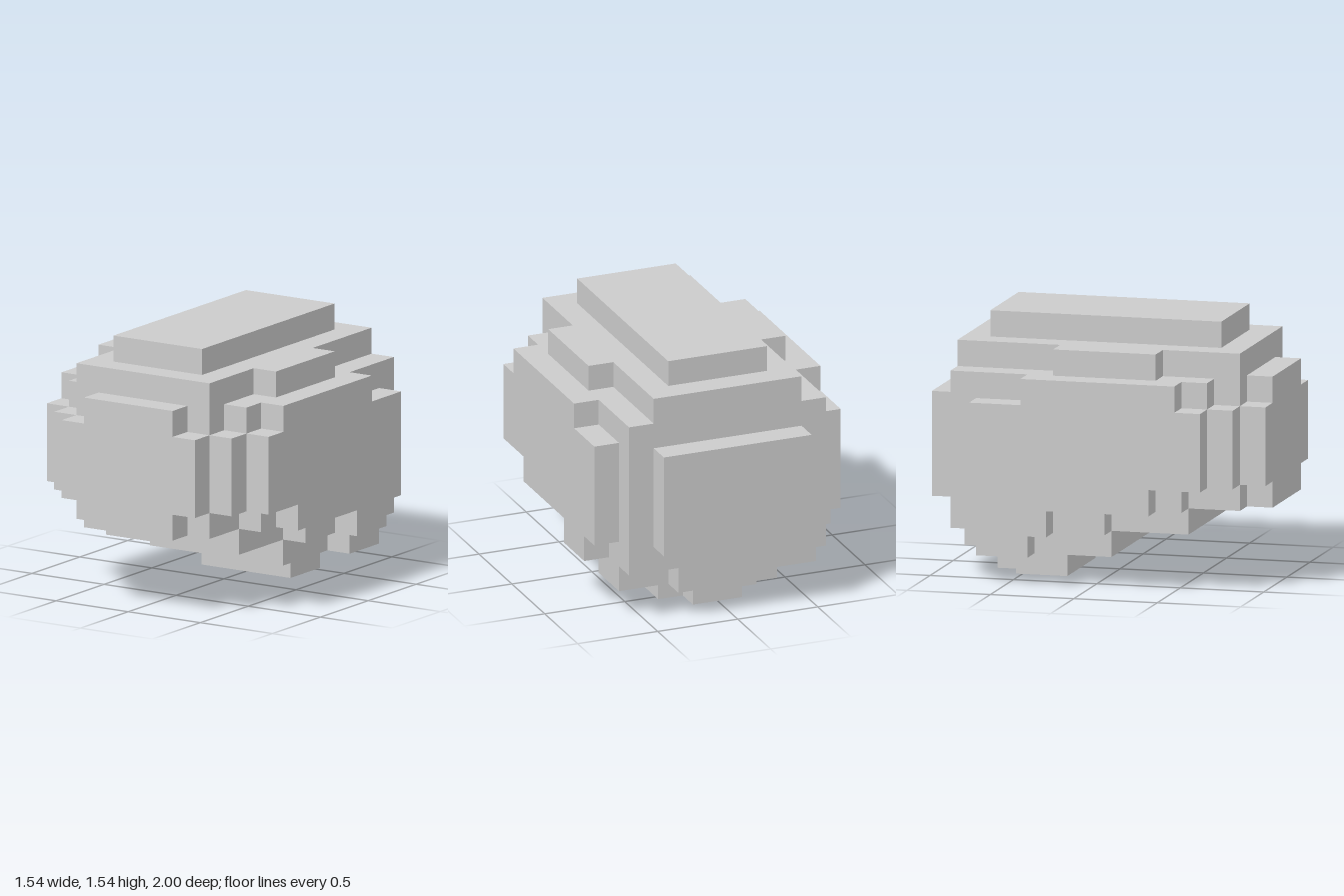
import * as THREE from 'three';

const UNIT = 2 / 13; // edge of one block

// Horizontal layers, bottom to top. Each step is [half width, back z, front z] in blocks.
const LAYERS = [
  { name: 'stem', y: 0, height: 1, steps: [[1, -4.5, -1.5], [2, -3.5, -1.5]] },
  { name: 'base', y: 1, height: 1, steps: [[2, -5.5, 0.5], [3, -4.5, 0.5], [4, -4.5, -2.5]] },
  { name: 'lowerSlope', y: 2, height: 1, steps: [[3, -5.5, 3.5], [4, -5.5, 0.5], [5, -3.5, -1.5]] },
  { name: 'lowerBody', y: 3, height: 1, steps: [[2, -6.5, 6.5], [3, -6.5, 5.5], [4, -5.5, 3.5], [5, -4.5, 2.5]] },
  { name: 'middleBody', y: 4, height: 3, steps: [[3, -6.5, 6.5], [4, -5.5, 5.5], [5, -4.5, 4.5]] },
  { name: 'upperBody', y: 7, height: 1, steps: [[2, -5.5, 6.5], [3, -5.5, 5.5], [4, -5.5, 4.5], [5, -2.5, 3.5]] },
  { name: 'shoulder', y: 8, height: 1, steps: [[3, -5.5, 5.5], [4, -1.5, 2.5]] },
  { name: 'crown', y: 9, height: 1, steps: [[2, -4.5, 4.5]] },
];

// Stepped outline of a layer, mirrored across x = 0 (shape y is -z).
function layerShape(steps) {
  const front = [], back = [];
  steps.forEach(([w, b, f], i) => {
    const next = steps[i + 1];
    // a corner is needed only where the edge changes direction
    if (!next || next[2] !== f) {
      front.push([w, f]);
      if (next) front.push([w, next[2]]);
    }
    if (!next || next[1] !== b) {
      back.push([w, b]);
      if (next) back.push([w, next[1]]);
    }
  });
  const half = [...front, ...back.reverse()];
  const mirrored = half.map(([x, z]) => [-x, z]).reverse();
  return new THREE.Shape(
    [...half, ...mirrored].map(([x, z]) => new THREE.Vector2(x * UNIT, -z * UNIT))
  );
}

export function createModel() {
  const group = new THREE.Group();
  group.name = 'blockModel';
  const material = new THREE.MeshStandardMaterial({ color: 0xcccccc, flatShading: true });

  for (const { name, y, height, steps } of LAYERS) {
    const geometry = new THREE.ExtrudeGeometry(layerShape(steps), {
      depth: height * UNIT,
      bevelEnabled: false,
    });
    geometry.rotateX(-Math.PI / 2);
    const mesh = new THREE.Mesh(geometry, material);
    mesh.name = name;
    mesh.position.y = y * UNIT;
    group.add(mesh);
  }
  return group;
}
